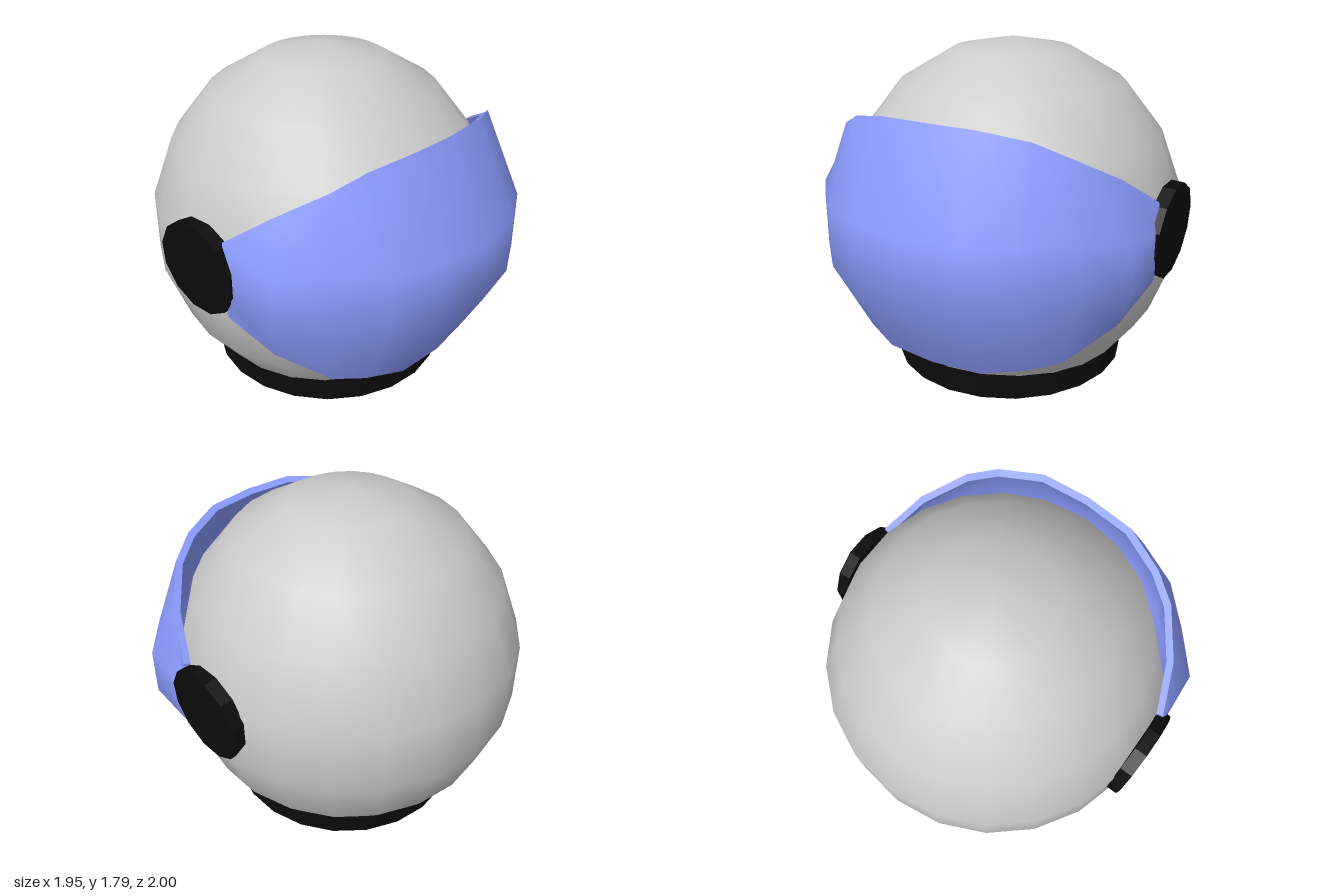
import * as THREE from 'three';
import { mergeGeometries } from 'three/addons/utils/BufferGeometryUtils.js';

const grey = new THREE.MeshStandardMaterial({ color: 0xcccccc, side: THREE.DoubleSide });
const blue = new THREE.MeshStandardMaterial({ color: 0x8c9cff, side: THREE.DoubleSide });
const black = new THREE.MeshStandardMaterial({ color: 0x0b0b0b, flatShading: true });

const CENTRE = new THREE.Vector3(0, 0.85, -0.07);

function surface(points, index) {
  const g = new THREE.BufferGeometry();
  g.setAttribute('position', new THREE.Float32BufferAttribute(points.flatMap(p => p.toArray()), 3));
  g.setIndex(index);
  g.computeVertexNormals();
  return g;
}

// Sheet with thickness: outer skin, inner skin scaled towards the centre, and a rim on every open edge
function thickSheet(points, faces, scale) {
  const inner = points.map(p => p.clone().sub(CENTRE).multiplyScalar(scale).add(CENTRE));
  const tris = faces.flatMap(f => f.slice(2).map((v, k) => [f[0], f[k + 1], v]));
  const edges = new Set(faces.flatMap(f => f.map((v, k) => v + '_' + f[(k + 1) % f.length])));
  const rimPoints = [], rimIndex = [];
  for (const edge of edges) {
    const [a, b] = edge.split('_').map(Number);
    if (edges.has(b + '_' + a)) continue;
    const n = rimPoints.length;
    rimPoints.push(points[a], points[b], inner[a], inner[b]);
    rimIndex.push(n, n + 2, n + 1, n + 1, n + 2, n + 3);
  }
  return mergeGeometries([
    surface(points, tris.flat()),
    surface(inner, tris.flatMap(t => [t[0], t[2], t[1]])),
    surface(rimPoints, rimIndex),
  ]);
}

function add(parent, name, geometry, material) {
  const mesh = new THREE.Mesh(geometry, material);
  mesh.name = name;
  parent.add(mesh);
  return mesh;
}

// Round shell, with a face opening in the front
function shellGeometry() {
  const rows = [[0.32, 1.735], [0.605, 1.568], [0.812, 1.305], [0.932, 0.98],
    [0.932, 0.65], [0.812, 0.33], [0.65, 0.12]];
  const n = 22;
  const points = [new THREE.Vector3(0, 1.795, -0.07)];
  rows.forEach(([r, y], i) => {
    for (let j = 0; j < n; j++) {
      const a = (j / n) * Math.PI * 2;
      const z = i === rows.length - 1 ? -0.05 : -0.07;
      points.push(new THREE.Vector3(r * Math.sin(a), y, r * Math.cos(a) + z));
    }
  });
  const id = (i, j) => 1 + i * n + (j % n);
  const open = ([i, j]) => (i === 3 || i === 4) && Math.min(j % n, n - (j % n)) <= 3;
  const faces = [];
  for (let j = 0; j < n; j++) {
    faces.push([0, id(0, j), id(0, j + 1)]);
    for (let i = 0; i < rows.length - 1; i++) {
      const corners = [[i, j], [i + 1, j], [i + 1, j + 1], [i, j + 1]].filter(c => !open(c));
      if (corners.length > 2) faces.push(corners.map(c => id(...c)));
    }
  }
  return thickSheet(points, faces, 0.96);
}

// Visor: columns from the middle to the left end, four points each from top to bottom, then mirrored
function visorGeometry() {
  const half = [
    [[0, 1.5, 0.75], [0, 1.01, 1], [0, 0.685, 1], [0, 0.24, 0.75]],
    [[0.27, 1.495, 0.73], [0.3, 1.01, 0.955], [0.3, 0.685, 0.955], [0.28, 0.25, 0.73]],
    [[0.5, 1.45, 0.64], [0.55, 1.005, 0.84], [0.55, 0.69, 0.84], [0.48, 0.28, 0.64]],
    [[0.65, 1.375, 0.55], [0.75, 1, 0.64], [0.75, 0.7, 0.64], [0.63, 0.32, 0.55]],
    [[0.82, 1.245, 0.35], [0.93, 0.98, 0.44], [0.93, 0.73, 0.44], [0.825, 0.48, 0.34]],
    [[0.93, 1.085, 0.13], [0.95, 0.94, 0.14], [0.95, 0.8, 0.14], [0.925, 0.66, 0.13]],
  ];
  const mirrored = half.slice(1).reverse().map(col => col.map(([x, y, z]) => [-x, y, z]));
  const columns = [...mirrored, ...half];
  const points = columns.flat().map(p => new THREE.Vector3(...p));
  const faces = [];
  for (let j = 0; j < columns.length - 1; j++) {
    for (let i = 0; i < 3; i++) {
      const a = j * 4 + i;
      faces.push([a, a + 1, a + 5, a + 4]);
    }
  }
  return thickSheet(points, faces, 0.963);
}

// Neck ring whose top slopes down towards the back
function neckRingGeometry() {
  const profile = [[0.56, 0], [0.65, 0], [0.65, 0.14], [0.56, 0.14], [0.56, 0]];
  const g = new THREE.LatheGeometry(profile.map(p => new THREE.Vector2(...p)), 22);
  const pos = g.attributes.position;
  for (let k = 0; k < pos.count; k++) {
    const z = pos.getZ(k) - 0.04;
    if (pos.getY(k) > 0.1) pos.setY(k, 0.14 - 0.04 * THREE.MathUtils.clamp((-0.14 - z) / 0.5, 0, 1));
    pos.setZ(k, z * 1.01);
  }
  return g;
}

export function createModel() {
  const model = new THREE.Group();
  model.name = 'helmet';

  add(model, 'shell', shellGeometry(), grey);
  add(model, 'visor', visorGeometry(), blue);
  add(model, 'neckRing', neckRingGeometry(), black);

  // Round hinge caps over the visor ends, leaning slightly
  for (const side of [1, -1]) {
    const cap = new THREE.CylinderGeometry(0.253, 0.253, 0.07, 12);
    cap.rotateY(Math.PI / 12);
    cap.rotateZ(-side * (Math.PI / 2 + 0.065));
    const mesh = add(model, side > 0 ? 'leftHingeCap' : 'rightHingeCap', cap, black);
    mesh.position.set(side * 0.925, 0.882, -0.045);
  }
  return model;
}
